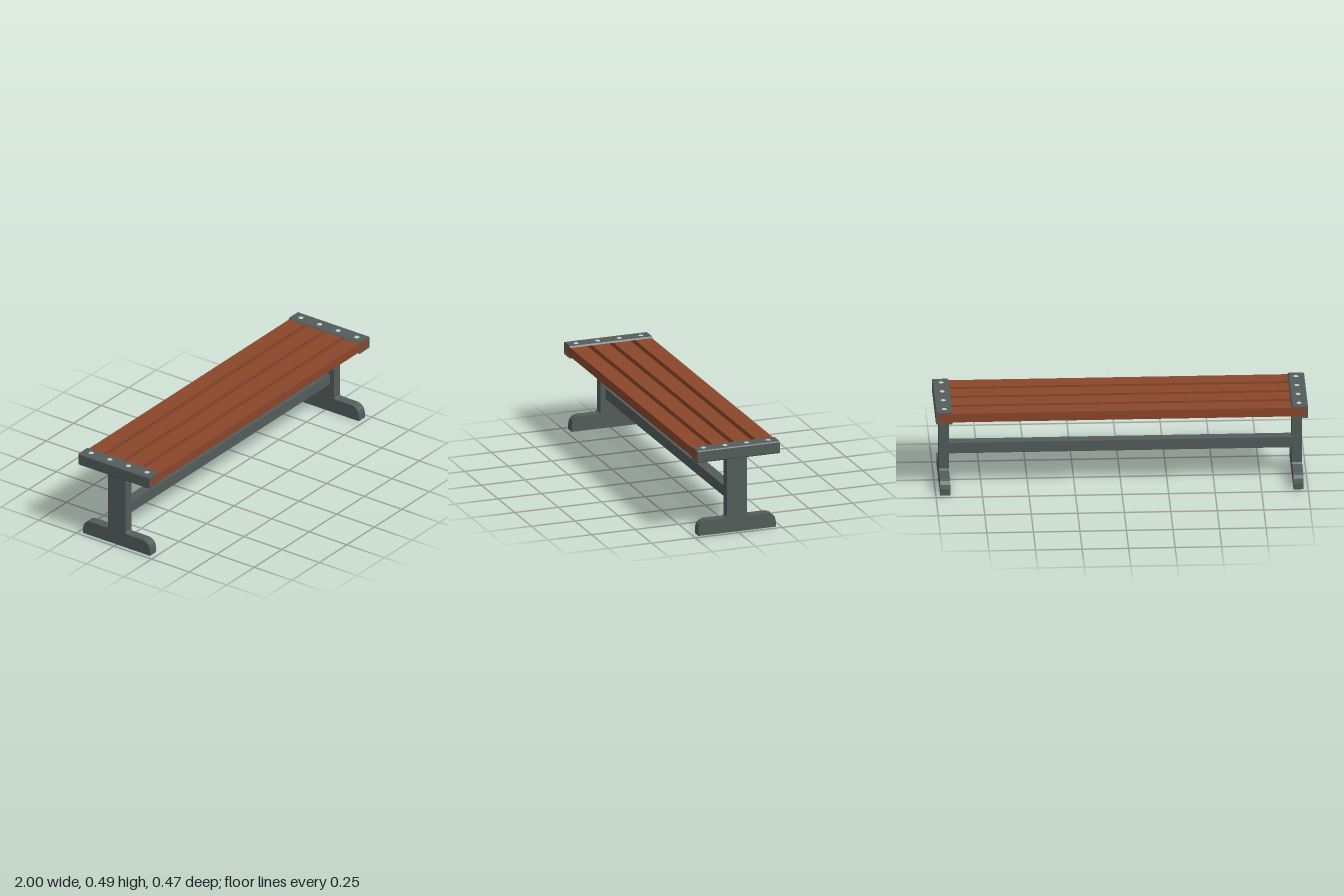
import * as THREE from 'three';

const material = (name, color) => {
  const m = new THREE.MeshStandardMaterial({ color });
  m.name = name;
  return m;
};

export function createModel() {
  const wood = material('reddish wood', 0x8a462b);
  const metal = material('grey green metal', 0x535d5b);
  const steel = material('pale steel', 0xc4c6c4);
  const bench = new THREE.Group();
  bench.name = 'bench';

  const add = (parent, name, geometry, mat, x = 0, y = 0, z = 0) => {
    const mesh = new THREE.Mesh(geometry, mat);
    mesh.name = name;
    mesh.position.set(x, y, z);
    parent.add(mesh);
    return mesh;
  };
  const extrude = (points, depth) => new THREE.ExtrudeGeometry(
    new THREE.Shape(points.map(([x, y]) => new THREE.Vector2(x, y))),
    { depth, bevelEnabled: false }
  ).translate(0, 0, -depth / 2);

  // Seat slats
  const slatCentres = [-0.186, -0.062, 0.062, 0.186];
  for (const z of slatCentres) {
    add(bench, 'slat', new THREE.BoxGeometry(1.976, 0.05, 0.097), wood, 0, 0.455, z);
  }

  // Stretcher between the legs
  add(bench, 'stretcher', new THREE.BoxGeometry(1.86, 0.06, 0.06), metal, 0, 0.195, 0);

  // Leg outline: rounded foot with a post, mirrored about its middle
  const half = [[0.222, 0], [0.222, 0.035], [0.216, 0.059], [0.2, 0.075],
    [0.178, 0.082], [0.067, 0.082], [0.058, 0.09], [0.058, 0.422]];
  const legOutline = [...half, ...half.map(([x, y]) => [-x, y]).reverse()];
  const legGeometry = extrude(legOutline, 0.054).rotateY(Math.PI / 2);

  // C-shaped cap that wraps the slat ends
  const capOutline = [[0.91, 0.42], [0.994, 0.42], [0.998, 0.422], [1, 0.427],
    [1, 0.483], [0.995, 0.488], [0.917, 0.488], [0.91, 0.48],
    [0.988, 0.48], [0.988, 0.43], [0.91, 0.43]];
  const capGeometry = extrude(capOutline, 0.474);
  const boltGeometry = new THREE.CylinderGeometry(0.011, 0.015, 0.003, 16);

  for (const side of [1, -1]) {
    const end = new THREE.Group();
    end.name = side > 0 ? 'leftEnd' : 'rightEnd';
    if (side < 0) end.rotation.y = Math.PI;
    add(end, 'leg', legGeometry, metal, 0.949, 0, 0);
    add(end, 'endCap', capGeometry, metal);
    for (const z of slatCentres) add(end, 'bolt', boltGeometry, steel, 0.953, 0.489, z);
    bench.add(end);
  }
  return bench;
}
